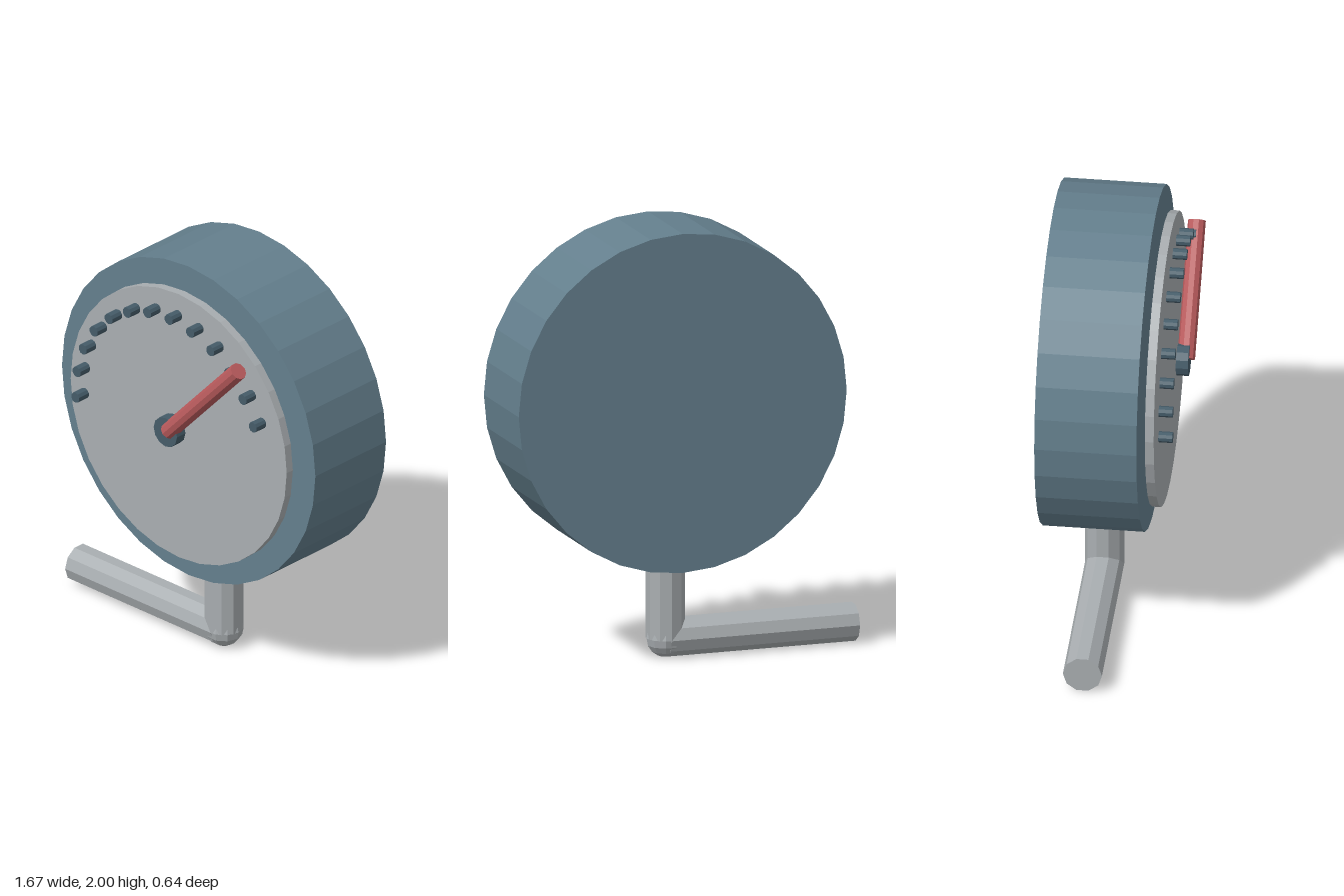
import * as THREE from 'three';

const material = (name, color) => {
  const m = new THREE.MeshStandardMaterial({ color, flatShading: true });
  m.name = name;
  return m;
};

export function createModel() {
  const casing = material('slate blue', 0x647f8d);
  const metal = material('light grey', 0xa9aeb1);
  const dark = material('dark slate', 0x455c69);
  const red = material('needle red', 0xb85a5c);

  const model = new THREE.Group();
  model.name = 'pressureGauge';
  const cx = 0.055, cy = 1.22;

  // Cylinder running between two points
  function rod(name, from, to, radius, sides, mat) {
    const a = new THREE.Vector3(...from), b = new THREE.Vector3(...to);
    const dir = b.clone().sub(a);
    const mesh = new THREE.Mesh(new THREE.CylinderGeometry(radius, radius, dir.length(), sides), mat);
    mesh.position.copy(a).lerp(b, 0.5);
    mesh.quaternion.setFromUnitVectors(new THREE.Vector3(0, 1, 0), dir.normalize());
    mesh.name = name;
    model.add(mesh);
    return mesh;
  }
  // Disc or peg facing the front
  const disc = (name, x, y, z0, z1, radius, sides, mat) =>
    rod(name, [x, y, z0], [x, y, z1], radius, sides, mat);

  // Housing and dial
  disc('housing', cx, cy, -0.32, 0.14, 0.78, 32, casing);
  disc('dialPlate', cx, cy, 0.165, 0.205, 0.665, 32, metal);

  // Scale pegs along an arc
  for (let i = 0; i < 13; i++) {
    const a = THREE.MathUtils.degToRad(183.5 - i * 13.48);
    disc('scalePeg' + (i + 1), cx + 0.567 * Math.cos(a), cy + 0.567 * Math.sin(a), 0.217, 0.28, 0.025, 10, dark);
  }

  // Hub and needle
  disc('hub', cx, cy, 0.237, 0.292, 0.072, 12, dark);
  rod('needle', [0.06, 1.222, 0.276], [0.49, 1.68, 0.276], 0.04, 10, red);

  // Elbow pipe below the housing
  const py = 0.093, pz = -0.09;
  rod('verticalPipe', [cx, py, pz], [cx, 0.48, pz], 0.088, 10, metal);
  rod('horizontalPipe', [-0.84, py, pz], [cx, py, pz], 0.088, 10, metal);
  const elbow = new THREE.Mesh(new THREE.SphereGeometry(0.089, 10, 8), metal);
  elbow.position.set(cx, py, pz);
  elbow.name = 'elbowJoint';
  model.add(elbow);

  return model;
}
